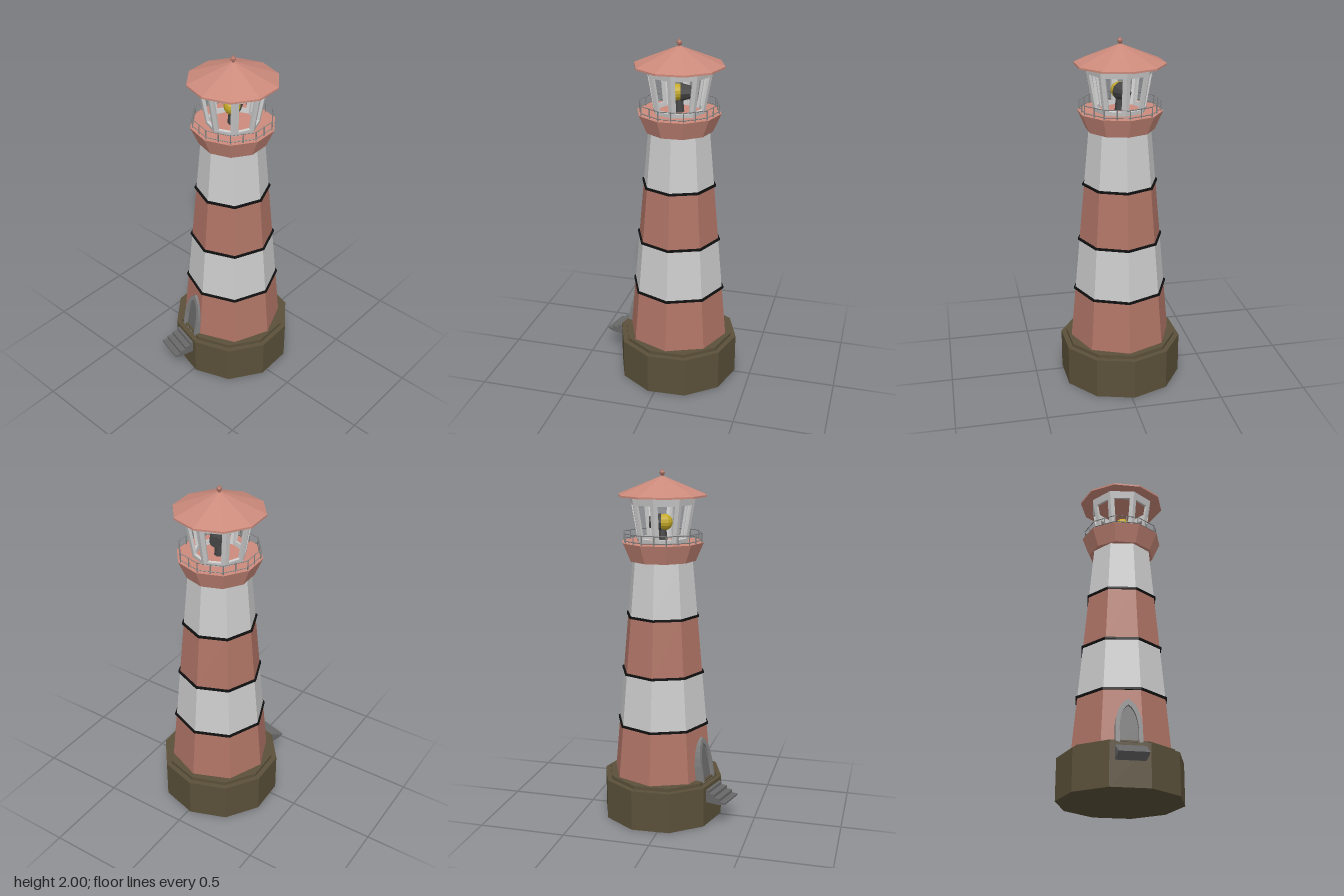
import * as THREE from 'three';

const DEG = Math.PI / 180;
const TEN_START = 92.5 * DEG; // turn of the ten-sided parts
const mat = (color) => new THREE.MeshStandardMaterial({ color, flatShading: true });
const M = {
  grey: mat(0xcccccc), red: mat(0xb07466), pink: mat(0xcb8a7b), stone: mat(0x5a5039),
  black: mat(0x101010), steel: mat(0x808080), step: mat(0x686868), dark: mat(0x444444), yellow: mat(0xc4aa28),
};

function add(parent, name, geometry, material, x = 0, y = 0, z = 0) {
  const mesh = new THREE.Mesh(geometry, material);
  mesh.name = name;
  mesh.position.set(x, y, z);
  parent.add(mesh);
  return mesh;
}

// Faceted drum between two heights
function drum(parent, name, material, sides, y0, y1, r0, r1, start = 0) {
  const g = new THREE.CylinderGeometry(r1, r0, y1 - y0, sides, 1, false, start);
  return add(parent, name, g, material, 0, (y0 + y1) / 2, 0);
}

const towerRadius = (y) => 0.29 - (y - 0.25) * 0.092;

// Pointed arch outline standing on y = 0
function archPoints(path, w, spring, h) {
  path.moveTo(-w, 0);
  path.lineTo(w, 0);
  path.lineTo(w, spring);
  path.quadraticCurveTo(w * 0.85, h * 0.87, 0, h);
  path.quadraticCurveTo(-w * 0.85, h * 0.87, -w, spring);
  path.closePath();
  return path;
}

function buildDoor() {
  const door = new THREE.Group();
  door.name = 'door';
  const frame = archPoints(new THREE.Shape(), 0.072, 0.1, 0.255);
  frame.holes.push(archPoints(new THREE.Path(), 0.05, 0.09, 0.22));
  const opts = { bevelEnabled: false, curveSegments: 5 };
  add(door, 'doorFrame', new THREE.ExtrudeGeometry(frame, { ...opts, depth: 0.07 }), M.steel, 0, 0, -0.07);
  const leaf = archPoints(new THREE.Shape(), 0.051, 0.09, 0.222);
  add(door, 'doorLeaf', new THREE.ExtrudeGeometry(leaf, { ...opts, depth: 0.04 }), M.step, 0, 0, -0.055);
  door.position.set(0, 0.245, 0.308);
  door.rotation.x = -0.17;
  return door;
}

function buildSteps() {
  // Side profile: x runs outward, y up
  const s = new THREE.Shape();
  s.moveTo(0.3, 0.14);
  s.lineTo(0.42, 0.14);
  s.lineTo(0.455, 0.15);
  for (let i = 0; i < 4; i++) {
    s.lineTo(0.455 - i * 0.035, 0.16 + i * 0.018);
    s.lineTo(0.42 - i * 0.035, 0.16 + i * 0.018);
  }
  s.lineTo(0.3, 0.2);
  s.closePath();
  const g = new THREE.ExtrudeGeometry(s, { depth: 0.16, bevelEnabled: false });
  g.translate(0, 0, -0.08);
  g.rotateY(-Math.PI / 2);
  return new THREE.Mesh(g, M.step);
}

function buildRailing() {
  const railing = new THREE.Group();
  railing.name = 'railing';
  const r = 0.222;
  for (const y of [1.615, 1.655]) {
    const g = new THREE.TorusGeometry(r, 0.003, 4, 10);
    g.rotateX(Math.PI / 2);
    g.rotateY(2.5 * DEG);
    add(railing, 'rail', g, M.steel, 0, y, 0);
  }
  for (let i = 0; i < 20; i++) {
    const a = TEN_START + i * 18 * DEG;
    const d = i % 2 ? r * Math.cos(18 * DEG) : r;
    add(railing, 'railPost', new THREE.CylinderGeometry(0.0035, 0.0035, 0.06, 5), M.steel,
      Math.sin(a) * d, 1.628, Math.cos(a) * d);
  }
  return railing;
}

// Eight outward-leaning window frames
function buildLantern() {
  const lantern = new THREE.Group();
  lantern.name = 'lantern';
  const H = 0.259, b = 0.0555, t = 0.073, m = 0.023;
  const half = (y) => b + (t - b) * y / H;
  const trapezoid = (path, y0, y1, inset) => {
    path.moveTo(-half(y0) + inset, y0);
    path.lineTo(half(y0) - inset, y0);
    path.lineTo(half(y1) - inset, y1);
    path.lineTo(-half(y1) + inset, y1);
    path.closePath();
    return path;
  };
  const shape = trapezoid(new THREE.Shape(), 0, H, 0);
  shape.holes.push(trapezoid(new THREE.Path(), 0.025, 0.212, m));
  const g = new THREE.ExtrudeGeometry(shape, { depth: 0.016, bevelEnabled: false });
  g.translate(0, 0, -0.016);
  g.rotateX(0.161);
  g.translate(0, 1.6, 0.134);
  for (let i = 0; i < 8; i++) {
    add(lantern, 'windowFrame', g, M.grey).rotation.y = (22.5 + 45 * i) * DEG;
  }
  return lantern;
}

function buildLamp() {
  const lamp = new THREE.Group();
  lamp.name = 'lamp';
  drum(lamp, 'lampStand', M.dark, 8, 1.6, 1.69, 0.03, 0.022);
  const head = new THREE.Group();
  head.name = 'lampHead';
  head.position.y = 1.71;
  head.rotation.y = 15 * DEG;
  add(head, 'bulb', new THREE.SphereGeometry(0.046, 12, 8), M.yellow, -0.012, 0, 0);
  const hood = new THREE.CylinderGeometry(0.032, 0.05, 0.065, 10);
  hood.rotateZ(-Math.PI / 2);
  add(head, 'lampHood', hood, M.dark, 0.04, 0, 0);
  lamp.add(head);
  return lamp;
}

export function createModel() {
  const model = new THREE.Group();
  model.name = 'lighthouse';
  const body = new THREE.Group();
  body.name = 'lighthouseBody';
  body.position.x = 0.055;
  model.add(body);

  // Ten-sided foundation with a ledge
  drum(body, 'foundation', M.stone, 10, 0, 0.235, 0.35, 0.35, TEN_START);
  drum(body, 'foundationLedge', M.stone, 10, 0.235, 0.255, 0.32, 0.32, TEN_START);

  // Striped eight-sided tower
  const levels = [0.25, 0.56, 0.865, 1.19, 1.505];
  for (let i = 0; i < 4; i++) {
    const [y0, y1] = [levels[i], levels[i + 1]];
    drum(body, 'towerStripe', i % 2 ? M.grey : M.red, 8, y0, y1, towerRadius(y0), towerRadius(y1));
    if (i > 0) {
      const r = towerRadius(y0) + 0.01;
      drum(body, 'towerBand', M.black, 8, y0 - 0.006, y0 + 0.006, r, r);
    }
  }

  // Gallery, lantern room and roof
  drum(body, 'gallery', M.pink, 10, 1.5, 1.603, 0.19, 0.235, TEN_START);
  body.add(buildRailing(), buildLantern(), buildLamp());
  drum(body, 'roofRim', M.pink, 10, 1.853, 1.863, 0.25, 0.25, TEN_START);
  drum(body, 'roof', M.pink, 10, 1.863, 1.96, 0.25, 0.012, TEN_START);
  drum(body, 'finialNeck', M.red, 6, 1.955, 1.975, 0.007, 0.007);
  add(body, 'finialBall', new THREE.SphereGeometry(0.015, 8, 5), M.red, 0, 1.979, 0);
  drum(body, 'finialTip', M.red, 6, 1.988, 2, 0.007, 0.002);

  // Entrance, turned to one side of the foundation
  const entrance = new THREE.Group();
  entrance.name = 'entrance';
  entrance.rotation.y = Math.atan2(-0.964, -0.267);
  const steps = buildSteps();
  steps.name = 'steps';
  entrance.add(buildDoor(), steps);
  body.add(entrance);

  return model;
}
